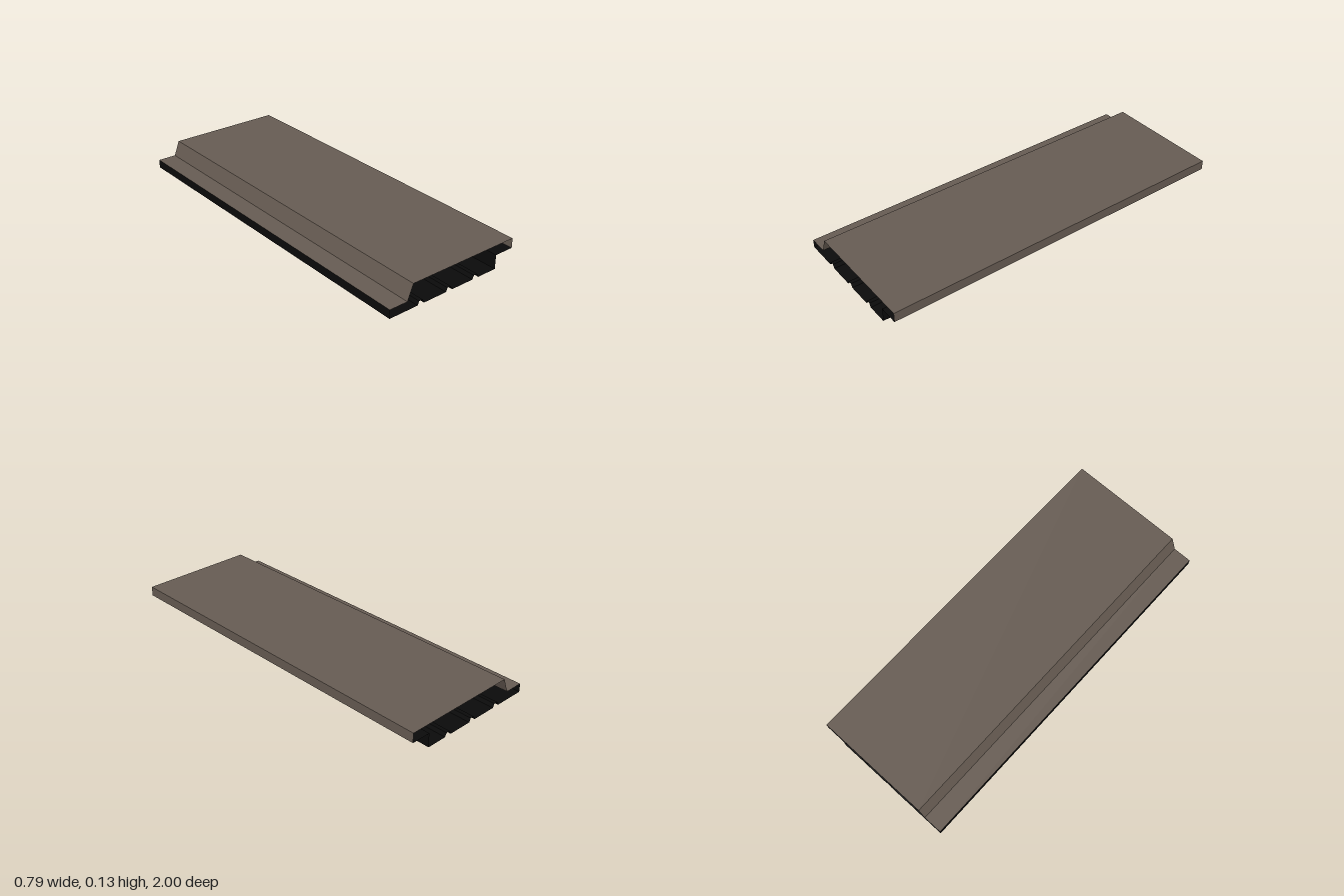
import * as THREE from 'three';

// Open-ended sheet: sweeps an outline (anticlockwise seen from the front) along z
function sweptSheet(name, outline, material) {
  const positions = [];
  for (let i = 0; i < outline.length - 1; i++) {
    const [ax, ay] = outline[i];
    const [bx, by] = outline[i + 1];
    positions.push(ax, ay, 1, ax, ay, -1, bx, by, -1);
    positions.push(ax, ay, 1, bx, by, -1, bx, by, 1);
  }
  const geometry = new THREE.BufferGeometry();
  geometry.setAttribute('position', new THREE.Float32BufferAttribute(positions, 3));
  geometry.computeVertexNormals();
  const mesh = new THREE.Mesh(geometry, material);
  mesh.name = name;
  return mesh;
}

export function createModel() {
  const group = new THREE.Group();
  group.name = 'claddingBoard';

  const brown = new THREE.MeshStandardMaterial({ color: 0x675c53, side: THREE.DoubleSide });
  brown.name = 'brown face';
  const black = new THREE.MeshStandardMaterial({ color: 0x0b0b0b, side: THREE.DoubleSide });
  black.name = 'black backing';

  const edge = 0.395, lipTop = 0.047, top = 0.13, overhang = 0.077, wall = 0.285;

  // Visible face: right edge, broad top, bevel and lower lip
  group.add(sweptSheet('topFace', [
    [edge, overhang], [edge, top], [-0.258, top], [-0.29, lipTop], [-edge, lipTop],
  ], brown));

  // Backing: lip edge, grooved underside, inner wall and overhang
  const backing = [[-edge, lipTop], [-edge, 0]];
  for (const x of [-0.205, -0.025, 0.15]) {
    backing.push([x - 0.02, 0], [x - 0.011, 0.02], [x + 0.011, 0.02], [x + 0.02, 0]);
  }
  backing.push([wall, 0], [wall, overhang], [edge, overhang]);
  group.add(sweptSheet('groovedBacking', backing, black));

  return group;
}
